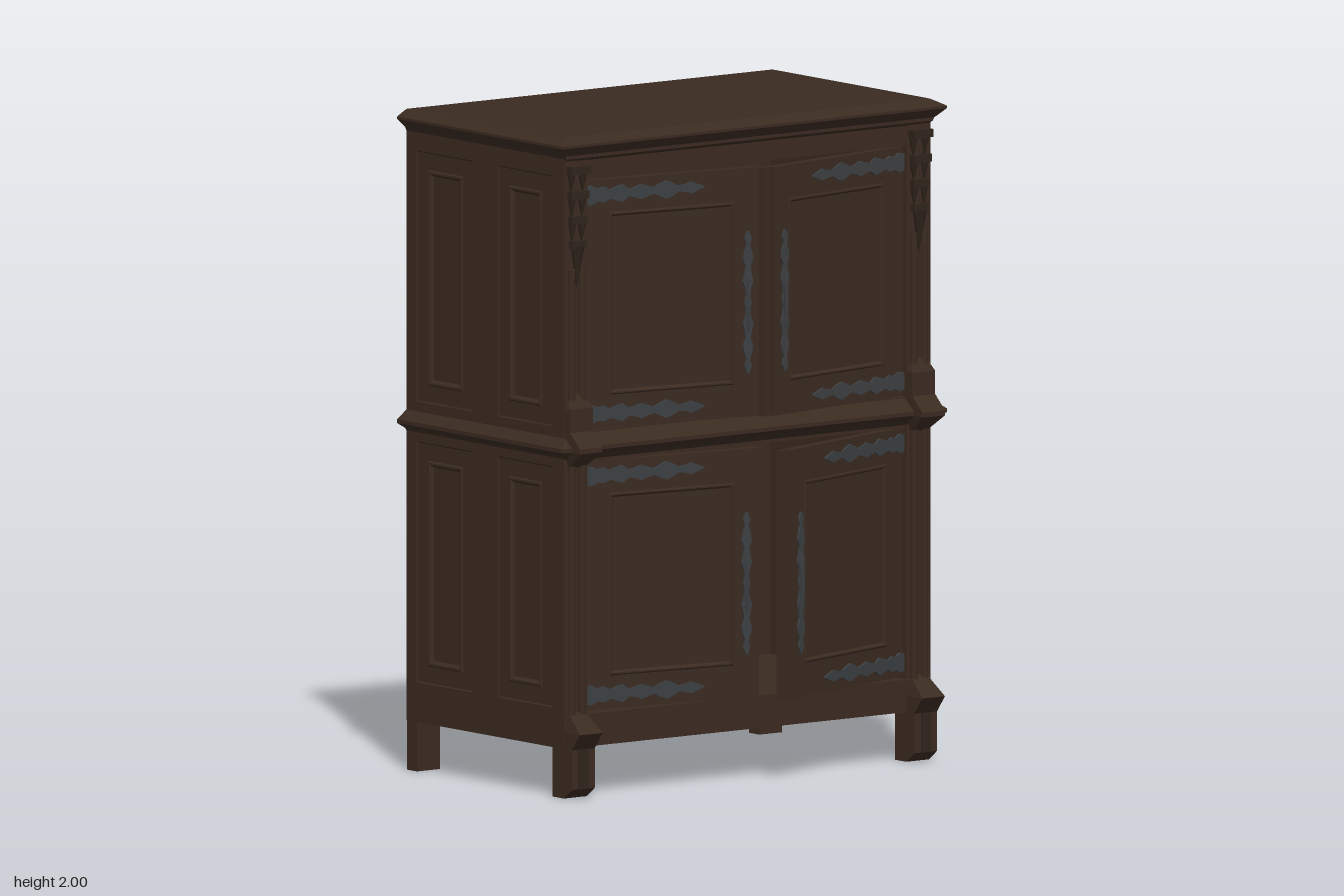
import * as THREE from 'three';

const mat = (name, color) => {
  const m = new THREE.MeshStandardMaterial({ color });
  m.name = name;
  return m;
};

export function createModel() {
  const wood = mat('dark oak', 0x3b2b21);
  const carved = mat('shaded carving', 0x30241c);
  const pale = mat('pale back board', 0x87644c);
  const iron = mat('wrought iron', 0x3d4043);
  const root = new THREE.Group();
  root.name = 'cabinet';

  const add = (parent, name, geo, m, x = 0, y = 0, z = 0) => {
    const mesh = new THREE.Mesh(geo, m);
    mesh.name = name;
    mesh.position.set(x, y, z);
    parent.add(mesh);
    return mesh;
  };
  // box given by its limits
  const box = (parent, name, m, x0, x1, y0, y1, z0, z1) =>
    add(parent, name, new THREE.BoxGeometry(x1 - x0, y1 - y0, z1 - z0), m,
      (x0 + x1) / 2, (y0 + y1) / 2, (z0 + z1) / 2);

  // flat-faced skin through four-cornered rings, capped at the end and optionally the start
  const loft = (rings, startCap) => {
    const p = [];
    const quad = (a, b, c, d) => p.push(...a, ...b, ...c, ...a, ...c, ...d);
    for (let r = 0; r + 1 < rings.length; r++) {
      for (let i = 0; i < 4; i++) {
        const j = (i + 1) % 4;
        quad(rings[r][i], rings[r][j], rings[r + 1][j], rings[r + 1][i]);
      }
    }
    quad(...rings[rings.length - 1]);
    if (startCap) quad(...[...rings[0]].reverse());
    const g = new THREE.BufferGeometry();
    g.setAttribute('position', new THREE.Float32BufferAttribute(p, 3));
    g.computeVertexNormals();
    return g;
  };
  // horizontal moulding: levels of [y, x0, x1, z0, z1]
  const moulding = (levels) => loft(levels.map(([y, x0, x1, z0, z1]) =>
    [[x0, y, z1], [x1, y, z1], [x1, y, z0], [x0, y, z0]]), true);
  // stepped panel facing +z: profile of [inset, depth]
  const stepPanel = (x0, x1, y0, y1, profile) => loft(profile.map(([i, d]) =>
    [[x0 + i, y0 + i, d], [x1 - i, y0 + i, d], [x1 - i, y1 - i, d], [x0 + i, y1 - i, d]]));
  // board with rectangular openings, front face at z = 0
  const rect = (P, [x0, x1, y0, y1]) => {
    const s = new P();
    s.moveTo(x0, y0); s.lineTo(x1, y0); s.lineTo(x1, y1); s.lineTo(x0, y1); s.closePath();
    return s;
  };
  const framedBoard = (outer, holes, depth) => {
    const s = rect(THREE.Shape, outer);
    s.holes = holes.map((h) => rect(THREE.Path, h));
    return new THREE.ExtrudeGeometry(s, { depth, bevelEnabled: false }).translate(0, 0, -depth);
  };
  // flat leaf-edged ironwork along +x, from half-widths evenly spaced
  const ironwork = (length, widths, depth) => {
    const n = widths.length - 1;
    const up = widths.map((w, i) => new THREE.Vector2(i / n * length, w));
    const down = widths.map((w, i) => new THREE.Vector2(i / n * length, -w)).reverse();
    return new THREE.ExtrudeGeometry(new THREE.Shape([...up, ...down]), { depth, bevelEnabled: false });
  };

  // side walls with four panels each
  for (const s of [1, -1]) {
    const wall = new THREE.Group();
    wall.name = s > 0 ? 'leftWall' : 'rightWall';
    wall.position.x = s * 0.69;
    wall.rotation.y = s * Math.PI / 2;
    root.add(wall);
    const span = (z0, z1) => [-s * z0, -s * z1].sort((a, b) => a - b);
    const holes = [];
    for (const [z0, z1] of [[-0.02, 0.25], [-0.42, -0.14]]) {
      for (const [y0, y1] of [[0.27, 1.0], [1.12, 1.88]]) holes.push([...span(z0, z1), y0, y1]);
    }
    add(wall, 'wallFrame', framedBoard([...span(-0.47, 0.31), 0.15, 1.94], holes, 0.02), wood);
    const [u0, u1] = span(-0.47, 0.31);
    box(wall, 'wallLining', wood, u0, u1, 0.15, 1.94, -0.04, -0.02);
    for (const h of holes) {
      add(wall, 'wallPanel', stepPanel(...h, [[0, 0], [0.004, -0.004], [0.054, -0.004],
        [0.058, 0.001], [0.064, 0.001], [0.072, -0.01]]), wood);
    }
  }

  // cornice, waist moulding and floor
  const full = (levels) => moulding(levels.map(([y, x, z]) => [y, -x, x, -0.47, z]));
  add(root, 'cornice', full([[1.925, 0.685, 0.305], [1.935, 0.69, 0.322], [1.945, 0.695, 0.322],
    [1.952, 0.702, 0.33], [1.972, 0.725, 0.345], [1.98, 0.725, 0.345], [2.0, 0.69, 0.307]]), wood);
  add(root, 'waistMoulding', full([[1.02, 0.685, 0.305], [1.035, 0.695, 0.32], [1.052, 0.725, 0.345],
    [1.064, 0.725, 0.345], [1.09, 0.69, 0.312], [1.1, 0.685, 0.3]]), wood);
  box(root, 'floor', wood, -0.65, 0.65, 0.19, 0.24, -0.43, 0.27);

  // front rails
  box(root, 'bottomRail', wood, -0.61, 0.61, 0.15, 0.235, 0.25, 0.305);
  box(root, 'bottomLedge', wood, -0.61, 0.61, 0.235, 0.25, 0.25, 0.315);
  box(root, 'middleRail', wood, -0.61, 0.61, 1.01, 1.105, 0.25, 0.3);
  box(root, 'topRail', wood, -0.61, 0.61, 1.865, 1.94, 0.25, 0.305);

  // open-framed back with pale boards outside and dark lining inside
  add(root, 'backFrame', framedBoard([-0.688, 0.688, 0.15, 1.94],
    [[-0.59, 0.59, 0.26, 1.0], [-0.59, 0.59, 1.115, 1.91]], 0.03), wood, 0, 0, -0.44);
  box(root, 'lowerBackBoard', pale, -0.6, 0.6, 0.25, 1.01, -0.457, -0.445);
  box(root, 'upperBackBoard', pale, -0.6, 0.6, 1.105, 1.92, -0.457, -0.445);
  box(root, 'backLining', wood, -0.65, 0.65, 0.2, 1.93, -0.44, -0.43);

  // front posts, feet and carvings
  for (const s of [1, -1]) {
    const post = new THREE.Group();
    post.name = s > 0 ? 'leftPost' : 'rightPost';
    post.position.x = s * 0.645;
    root.add(post);
    box(post, 'postCore', wood, -0.043, 0.043, 0.15, 1.94, 0.25, 0.308);
    box(post, 'rearFoot', wood, -0.043, 0.043, 0, 0.16, -0.47, -0.42);
    add(post, 'frontFoot', moulding([[0, -0.043, 0.043, 0.25, 0.305], [0.03, -0.043, 0.043, 0.25, 0.345],
      [0.15, -0.043, 0.043, 0.25, 0.345], [0.2, -0.043, 0.043, 0.25, 0.384],
      [0.26, -0.03, 0.03, 0.25, 0.31]]), wood);
    box(post, 'footFlute', carved, -0.018, 0.018, 0.03, 0.15, 0.34, 0.349);
    add(post, 'waistCap', moulding([[1.0, -0.03, 0.03, 0.25, 0.315], [1.05, -0.043, 0.043, 0.25, 0.384],
      [1.065, -0.043, 0.043, 0.25, 0.384], [1.11, -0.043, 0.043, 0.25, 0.335]]), wood);
    add(post, 'upperBase', moulding([[1.09, -0.043, 0.043, 0.25, 0.336], [1.18, -0.043, 0.043, 0.25, 0.336],
      [1.22, -0.025, 0.025, 0.25, 0.312]]), wood);
    for (const [y0, y1] of [[0.24, 1.02], [1.2, 1.6]]) {
      for (const x of [-0.02, 0.02]) {
        add(post, 'column', new THREE.CylinderGeometry(0.012, 0.012, y1 - y0, 8), wood, x, (y0 + y1) / 2, 0.312);
      }
    }
    // hanging tracery: tiers of pointed drops below small ledges
    for (let i = 0; i < 4; i++) {
      const y = 1.9 - i * 0.075;
      const w = 0.036 - i * 0.003;
      const last = i === 3;
      box(post, 'carvedLedge', carved, -w, w, y - 0.012, y + 0.012, 0.3, 0.336 - i * 0.003);
      for (const x of last ? [0] : [-w * 0.6, w * 0.6]) {
        add(post, 'carvedDrop', new THREE.ConeGeometry(last ? 0.024 : 0.015, last ? 0.13 : 0.07, 6)
          .rotateX(Math.PI), carved, x, y - (last ? 0.07 : 0.04), 0.312);
      }
    }
  }

  // doors, each standing ajar on its outer hinge; s = side of the hinge
  const strap = [0.026, 0.03, 0.02, 0.024, 0.014, 0.022, 0.027, 0.012, 0.016, 0.023, 0.016, 0.01,
    0.02, 0.028, 0.02, 0.009, 0.012, 0.018, 0.01, 0.002];
  const plate = [0.003, 0.012, 0.006, 0.014, 0.017, 0.008, 0.012, 0.018, 0.01, 0.007, 0.012,
    0.007, 0.01, 0.018, 0.012, 0.008, 0.017, 0.014, 0.006, 0.012, 0.003];
  const makeDoor = (name, s, y0, y1, width, angle) => {
    const door = new THREE.Group();
    door.name = name;
    door.position.set(s * 0.6, 0, 0.292);
    door.rotation.y = s * angle;
    root.add(door);
    const span = (a, b) => [-s * a, -s * b].sort((p, q) => p - q);
    const hole = [...span(0.085, 0.515), y0 + 0.1, y1 - 0.1];
    const [x0, x1] = span(0, width);
    add(door, 'doorFrame', framedBoard([x0, x1, y0, y1], [hole], 0.014), wood);
    box(door, 'doorBack', wood, x0, x1, y0, y1, -0.03, -0.014);
    add(door, 'doorPanel', stepPanel(...hole, [[0, 0], [0.004, 0.003], [0.008, 0.003],
      [0.014, -0.006]]), wood);
    // strap hinges
    for (const y of [y0 + 0.045, y1 - 0.045]) {
      const g = ironwork(0.41, strap, 0.006);
      if (s > 0) g.rotateZ(Math.PI);
      add(door, 'strapHinge', g, iron, 0, y, 0);
    }
    // handle plate with a low grip
    const hx = -s * (width - 0.045);
    const hy = (y0 + y1) / 2 - 0.03;
    add(door, 'handlePlate', ironwork(0.43, plate, 0.006).rotateZ(Math.PI / 2), iron, hx, hy - 0.215, 0);
    const grip = new THREE.CatmullRomCurve3([[-0.09, 0.002], [-0.06, 0.008], [0.06, 0.008], [0.09, 0.002]]
      .map(([y, z]) => new THREE.Vector3(0, y, z)));
    add(door, 'handleGrip', new THREE.TubeGeometry(grip, 12, 0.006, 6), iron, hx, hy, 0);
    // rebated strip that closes the gap behind the opposite door
    if (s > 0) box(door, 'lapStrip', wood, -width - 0.034, -width, y0, y1, -0.03, -0.014);
  };
  makeDoor('upperRightDoor', -1, 1.107, 1.86, 0.607, 0.132);
  makeDoor('upperLeftDoor', 1, 1.107, 1.86, 0.58, 0.19);
  makeDoor('lowerRightDoor', -1, 0.257, 1.01, 0.602, 0.132);
  makeDoor('lowerLeftDoor', 1, 0.257, 1.01, 0.58, 0.305);

  return root;
}
